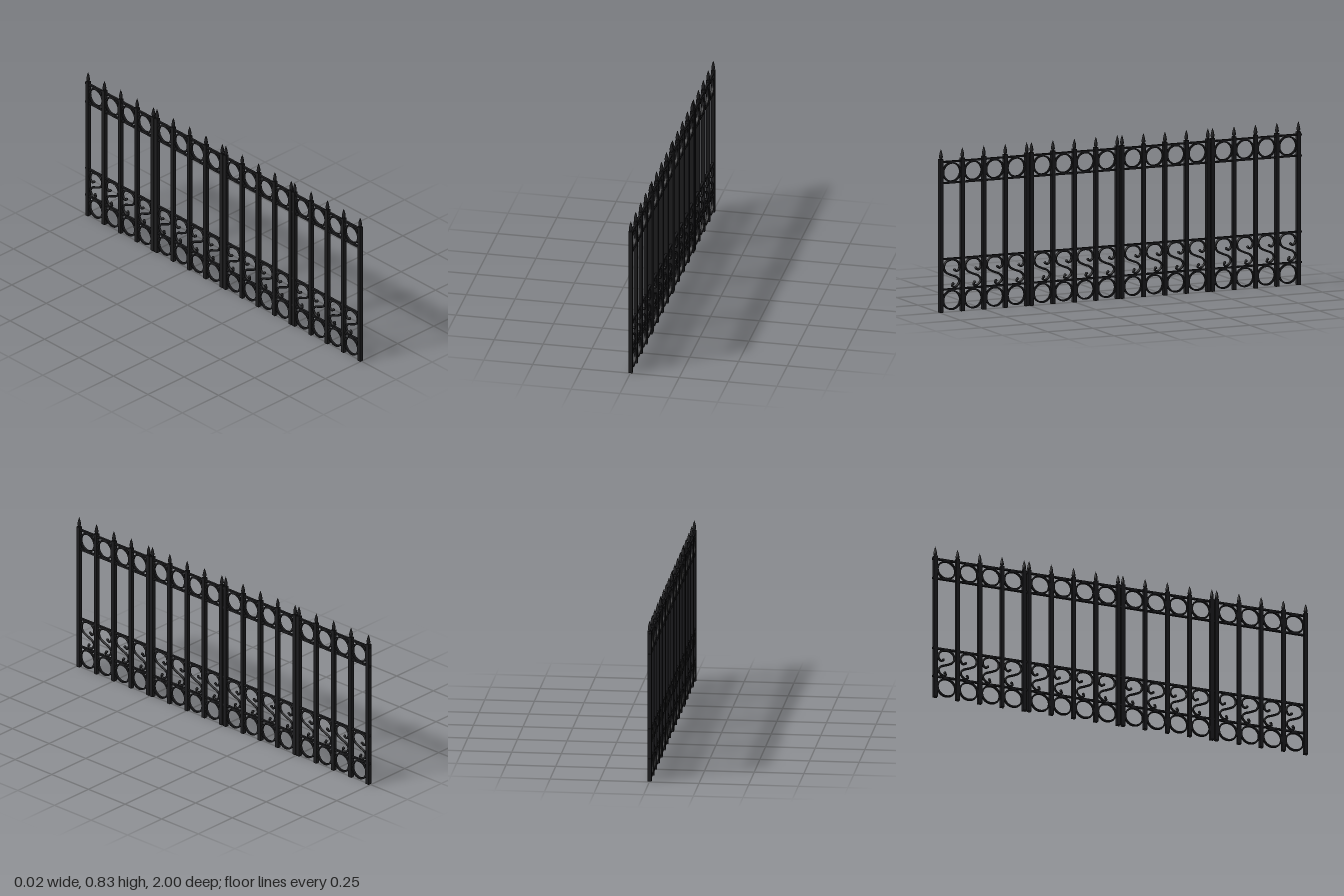
import * as THREE from 'three';

const PANELS = 4, PANEL_LENGTH = 0.5, BARS = 5, SPACING = 0.1185, BAR = 0.02;

export function createModel() {
  const iron = new THREE.MeshStandardMaterial({ color: 0x1c1c1e });
  const fence = new THREE.Group();
  fence.name = 'fence';

  const add = (parent, name, geometry, y, z) => {
    const mesh = new THREE.Mesh(geometry, iron);
    mesh.name = name;
    mesh.position.set(0, y, z);
    parent.add(mesh);
    return mesh;
  };

  // Square upright
  const barGeo = new THREE.BoxGeometry(BAR, 0.778, BAR);

  // Pointed finial with a narrow neck and a swelling base
  const finialGeo = new THREE.LatheGeometry(
    [[0, 0], [0.007, 0], [0.006, 0.005], [0.0095, 0.01], [0.0095, 0.017], [0.006, 0.035], [0, 0.054]]
      .map(([r, y]) => new THREE.Vector2(r, y)), 12);

  // Horizontal rail
  const railGeo = new THREE.BoxGeometry(0.012, 0.009, PANEL_LENGTH);

  // Flat ring, lying in the plane of the fence
  const ringShape = new THREE.Shape().absarc(0, 0, 0.051, 0, Math.PI * 2, false);
  ringShape.holes.push(new THREE.Path().absarc(0, 0, 0.043, 0, Math.PI * 2, true));
  const ringGeo = new THREE.ExtrudeGeometry(ringShape, { depth: 0.012, bevelEnabled: false, curveSegments: 20 });
  ringGeo.translate(0, 0, -0.006).rotateY(Math.PI / 2);

  // S-shaped scroll: [offset towards -z, height]
  const scrollCurve = new THREE.CatmullRomCurve3([
    [0.016, 0.212], [0.026, 0.204], [0.039, 0.213], [0.043, 0.235], [0.028, 0.257], [0, 0.265],
    [-0.029, 0.256], [-0.043, 0.231], [-0.034, 0.204], [-0.004, 0.187], [0.029, 0.173],
    [0.042, 0.154], [0.033, 0.134], [0.014, 0.124], [0.002, 0.133], [0.008, 0.142],
  ].map(([u, y]) => new THREE.Vector3(0, y, -u)));
  const scrollGeo = new THREE.TubeGeometry(scrollCurve, 56, 0.006, 6, false);
  const knobGeo = new THREE.SphereGeometry(0.0075, 8, 6);

  for (let p = 0; p < PANELS; p++) {
    const panel = new THREE.Group();
    panel.name = 'panel';
    panel.position.z = 1 - p * PANEL_LENGTH;
    fence.add(panel);

    for (const y of [0.115, 0.27, 0.656, 0.763]) add(panel, 'rail', railGeo, y, -PANEL_LENGTH / 2);

    for (let i = 0; i < BARS; i++) {
      const z = -BAR / 2 - i * SPACING;
      add(panel, 'upright', barGeo, 0.389, z);
      add(panel, 'finial', finialGeo, 0.777, z);
      if (i === BARS - 1) continue;

      // Ornaments in the bay after this upright
      const middle = z - SPACING / 2;
      add(panel, 'lowerRing', ringGeo, 0.06, middle);
      add(panel, 'upperRing', ringGeo, 0.709, middle);
      const scroll = add(panel, 'scroll', scrollGeo, 0, middle);
      for (const t of [0, 1]) {
        const end = scrollCurve.getPoint(t);
        add(scroll, 'scrollKnob', knobGeo, end.y, end.z);
      }
    }
  }
  return fence;
}
